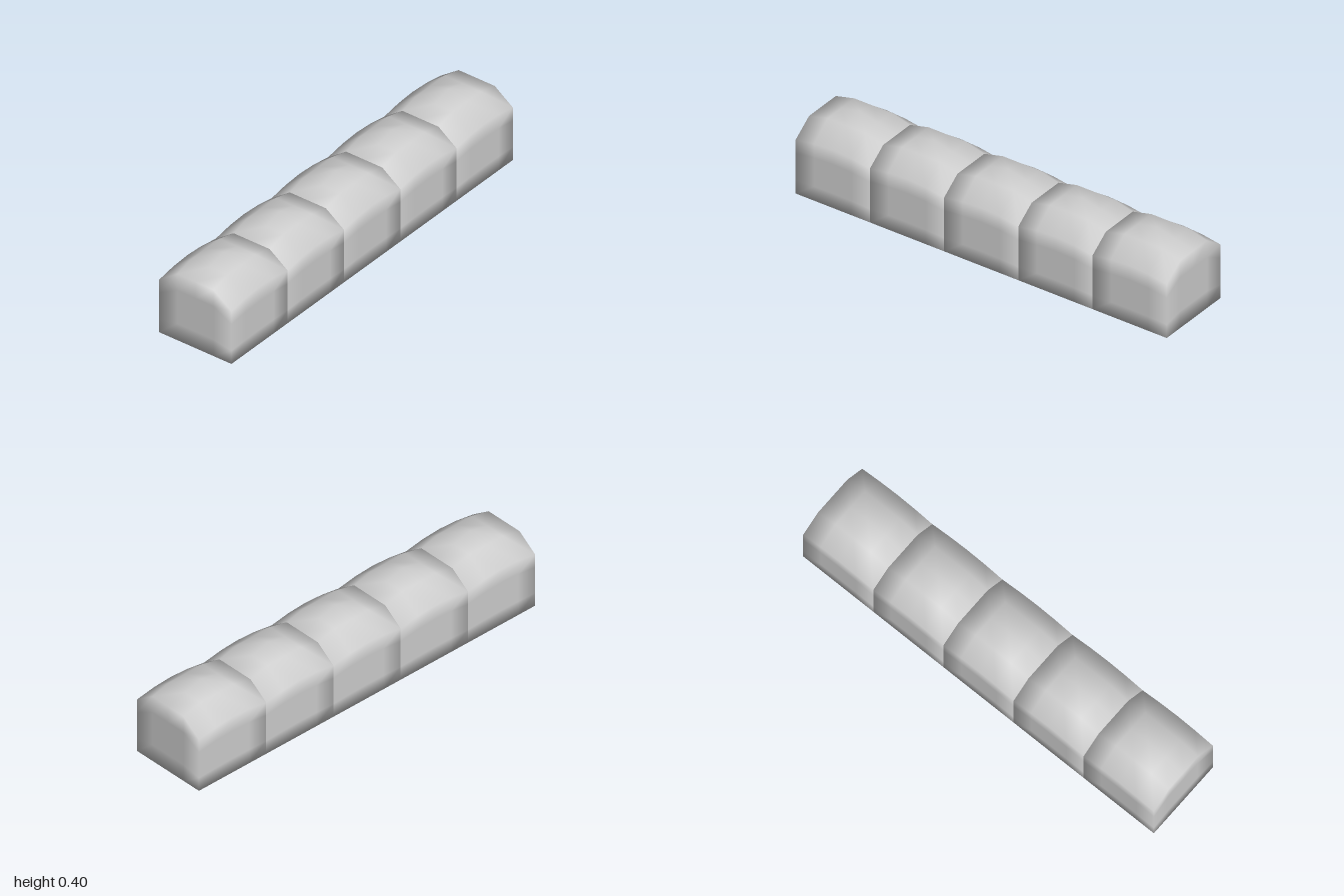
import * as THREE from 'three';
import { mergeVertices } from 'three/addons/utils/BufferGeometryUtils.js';

const SIZE = 0.4;
const COUNT = 5;

// Height of the domed top over one quarter of a block: rows step in z, columns in x (0, 0.1, 0.2)
const HEIGHTS = [
  [0.4, 0.375, 0.3],
  [0.375, 0.375, 0.294],
  [0.35, 0.35, 0.278],
];

// Gridded box whose columns are scaled to the dome, with smooth normals all round
function domedBlock() {
  const box = new THREE.BoxGeometry(SIZE, 1, SIZE, 4, 4, 4).translate(0, 0.5, 0);
  box.deleteAttribute('normal');
  box.deleteAttribute('uv');
  box.clearGroups();
  const geometry = mergeVertices(box, 1e-4);
  const p = geometry.attributes.position;
  for (let i = 0; i < p.count; i++) {
    const column = Math.round(Math.abs(p.getX(i)) / 0.1);
    const row = Math.round(Math.abs(p.getZ(i)) / 0.1);
    p.setY(i, p.getY(i) * HEIGHTS[row][column]);
  }
  geometry.computeVertexNormals();
  return geometry;
}

export function createModel() {
  const model = new THREE.Group();
  model.name = 'blockRow';
  const grey = new THREE.MeshStandardMaterial({ color: 0xcccccc });
  grey.name = 'light grey';

  // Identical blocks placed end to end along z
  const geometry = domedBlock();
  for (let i = 0; i < COUNT; i++) {
    const block = new THREE.Mesh(geometry, grey);
    block.name = `domedBlock${i + 1}`;
    block.position.z = (i - (COUNT - 1) / 2) * SIZE;
    model.add(block);
  }
  return model;
}
